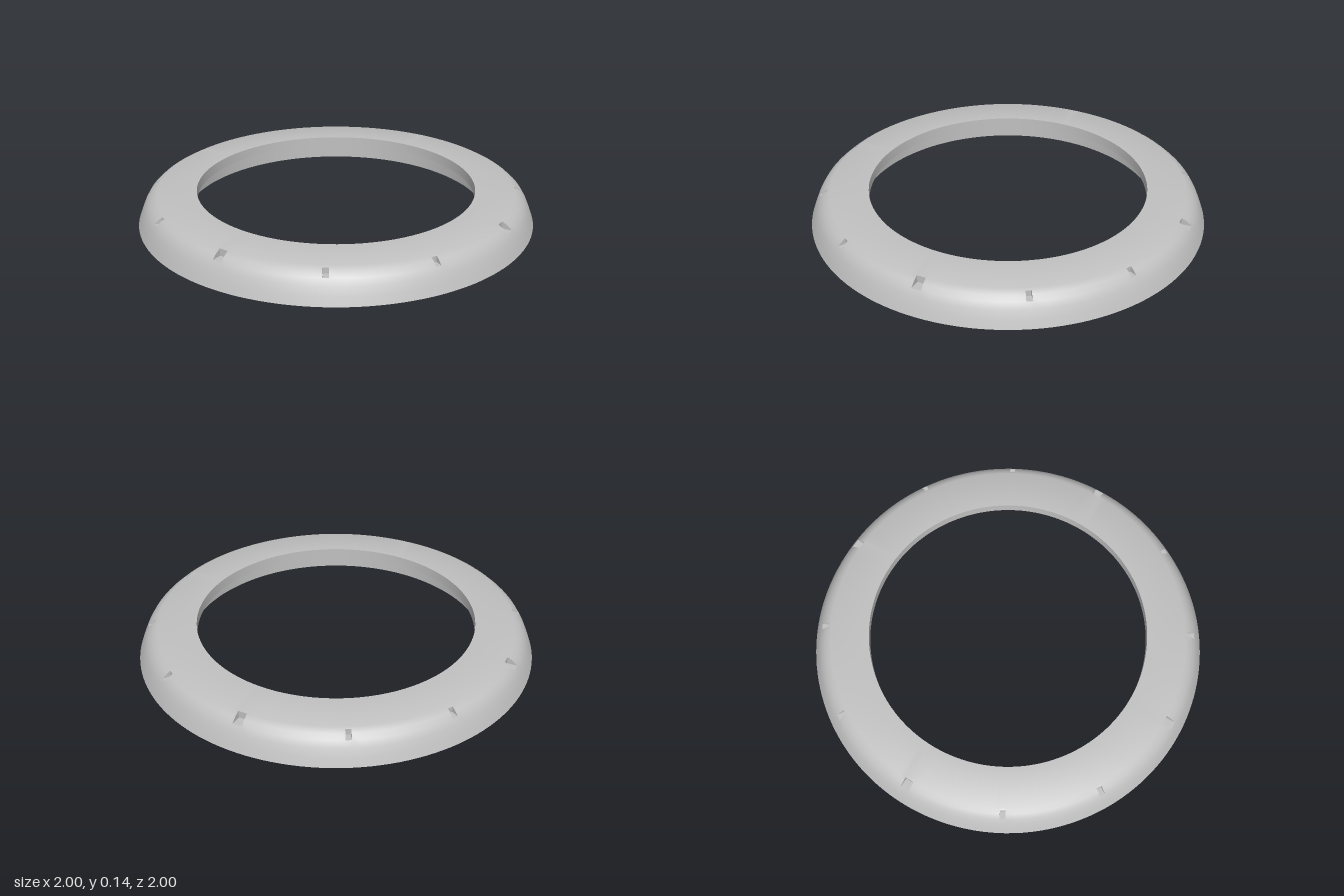
import * as THREE from 'three';
import { mergeGeometries, toCreasedNormals } from 'three/addons/utils/BufferGeometryUtils.js';

const toPoints = (list) => list.map(([r, y]) => new THREE.Vector2(r, y));

// Cross-section pieces as [radius, height]
const lowerDome = [[1, 0], [0.985, 0.04], [0.968, 0.08], [0.95, 0.11]];
const plainEdge = [[0.928, 0.13], [0.9, 0.145]];
const inside = [
  [0.705, 0.145], [0.705, 0.093], [0.772, 0.093], [0.772, 0], // bore and seat
  [0.895, 0], [0.895, 0.053], [0.955, 0.053], [0.955, 0], [1, 0], // groove and rim
];

// Two notch sizes: long at the quarters, short in between
const longNotch = {
  halfAngle: 0.0225 / 0.925,
  edge: [[0.9, 0.11], [0.9, 0.145]],
  cheek: [[0.95, 0.11], [0.928, 0.13], [0.9, 0.145], [0.9, 0.11]],
};
const shortNotch = {
  halfAngle: 0.0135 / 0.93,
  edge: [[0.912, 0.11], [0.912, 0.139], [0.9, 0.145]],
  cheek: [[0.95, 0.11], [0.928, 0.13], [0.912, 0.139], [0.912, 0.11]],
};

// Part of the ring swept from one angle to another
function sector(edge, segments, start, end) {
  const profile = toPoints([...lowerDome, ...edge, ...inside]);
  return new THREE.LatheGeometry(profile, segments, start, end - start);
}

// Flat side wall of a notch, standing in the radial plane
function cheek(outline, angle) {
  return new THREE.ShapeGeometry(new THREE.Shape(toPoints(outline))).rotateY(angle - Math.PI / 2);
}

export function createModel() {
  const metal = new THREE.MeshStandardMaterial({ color: 0xc0c0c0, side: THREE.DoubleSide });
  metal.name = 'grey metal';

  const sectors = [];
  const cheeks = [];
  const step = Math.PI / 6;
  const notchAt = (k) => (k % 3 === 0 ? longNotch : shortNotch);

  // Twelve notches with plain ring between them
  for (let k = 0; k < 12; k++) {
    const notch = notchAt(k);
    const start = k * step - notch.halfAngle;
    const end = k * step + notch.halfAngle;
    const next = (k + 1) * step - notchAt(k + 1).halfAngle;
    sectors.push(sector(notch.edge, 1, start, end), sector(plainEdge, 12, end, next));
    cheeks.push(cheek(notch.cheek, start), cheek(notch.cheek, end));
  }

  const ring = new THREE.Mesh(toCreasedNormals(mergeGeometries(sectors), 0.5), metal);
  ring.name = 'bezelRing';
  const walls = new THREE.Mesh(mergeGeometries(cheeks), metal);
  walls.name = 'notchSideWalls';

  const model = new THREE.Group();
  model.name = 'notchedBezel';
  model.add(ring, walls);
  return model;
}
